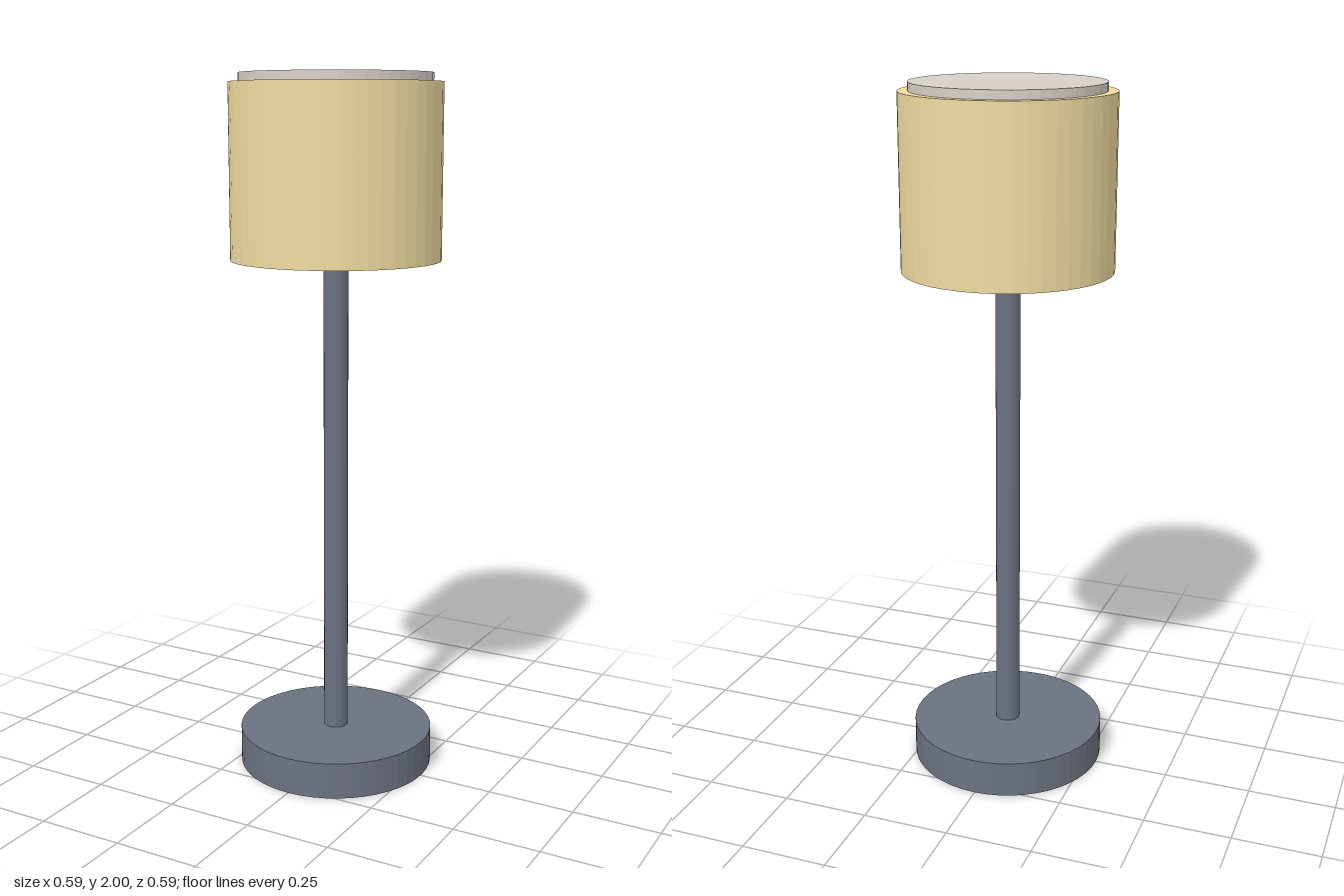
import * as THREE from 'three';

const SIDES = 48;

function material(color) {
  return new THREE.MeshStandardMaterial({ color, flatShading: true });
}

// Upright disc or rod between two heights
function addCylinder(group, name, radius, bottom, top, mat, sides = SIDES) {
  const geometry = new THREE.CylinderGeometry(radius, radius, top - bottom, sides);
  const mesh = new THREE.Mesh(geometry, mat);
  mesh.name = name;
  mesh.position.y = (bottom + top) / 2;
  group.add(mesh);
}

export function createModel() {
  const lamp = new THREE.Group();
  lamp.name = 'tableLamp';

  const metal = material(0x6b7280);
  const fabric = material(0xf0dca0);
  const diffuser = material(0xd6d0c8);

  // Weighted foot and slim stem, the stem running up into the shade
  addCylinder(lamp, 'base', 0.283, 0, 0.105, metal);
  addCylinder(lamp, 'stem', 0.035, 0.105, 1.52, metal, 24);

  // Drum shade, closed at both ends, with a thin raised disc on top
  addCylinder(lamp, 'shade', 0.295, 1.492, 1.976, fabric);
  addCylinder(lamp, 'topDiffuser', 0.267, 1.95, 2, diffuser);

  return lamp;
}
